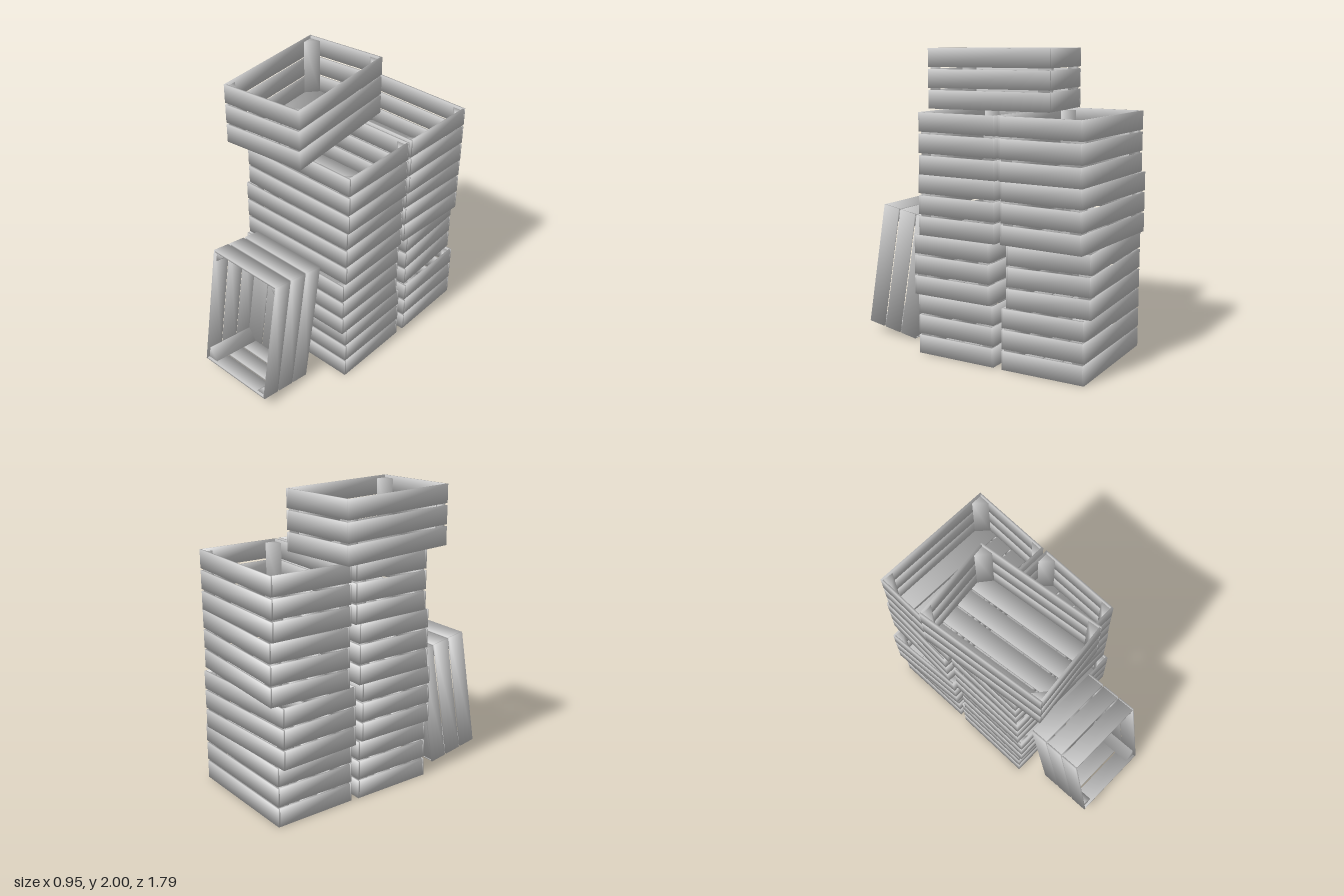
import * as THREE from 'three';

const L = 0.87, W = 0.57, H = 0.4;     // crate length, width, height
const T = 0.012;                       // board thickness
const SLAT = 0.124, POST = 0.075;

const material = new THREE.MeshStandardMaterial({ color: 0xcccccc });

// Smooth shading across all edges: normals point away from the part's centre
function softNormals(geometry, center, size) {
  const position = geometry.attributes.position, normal = geometry.attributes.normal;
  const n = new THREE.Vector3();
  for (let i = 0; i < position.count; i++) {
    n.fromBufferAttribute(position, i).sub(center).divide(size).normalize();
    normal.setXYZ(i, n.x, n.y, n.z);
  }
  return geometry;
}

function board(parent, name, size, position) {
  const geometry = new THREE.BoxGeometry(...size);
  softNormals(geometry, new THREE.Vector3(), new THREE.Vector3(...size));
  const mesh = new THREE.Mesh(geometry, material);
  mesh.name = name;
  mesh.position.set(...position);
  parent.add(mesh);
}

// Triangular post, right angle at the origin, legs along sx and sz
function cornerPost(sx, sz) {
  const h = H - 0.025;
  const tri = new THREE.Shape([
    new THREE.Vector2(0, 0),
    new THREE.Vector2(sx * POST, 0),
    new THREE.Vector2(0, -sz * POST),
  ]);
  const geometry = new THREE.ExtrudeGeometry(tri, { depth: h, bevelEnabled: false });
  geometry.rotateX(-Math.PI / 2);
  softNormals(geometry, new THREE.Vector3(sx * POST / 3, h / 2, sz * POST / 3), new THREE.Vector3(POST, h, POST));
  const mesh = new THREE.Mesh(geometry, material);
  mesh.name = 'cornerPost';
  mesh.position.set(-sx * (L / 2 - T), 0.008, -sz * (W / 2 - T));
  return mesh;
}

// Open slatted crate standing on y = 0, long side along x
function createCrate(name) {
  const crate = new THREE.Group();
  crate.name = name;

  // Three slats on each wall
  for (let i = 0; i < 3; i++) {
    const y = SLAT / 2 + i * (H - SLAT) / 2;
    for (const s of [-1, 1]) {
      board(crate, 'longSideSlat', [L, SLAT, T], [0, y, s * (W - T) / 2]);
      board(crate, 'endSlat', [T, SLAT, W - 2 * T], [s * (L - T) / 2, y, 0]);
    }
  }

  // Four floor slats
  const inner = W - 2 * T, gap = 0.013, floorW = (inner - 3 * gap) / 4;
  for (let i = 0; i < 4; i++) {
    const z = -inner / 2 + floorW / 2 + i * (floorW + gap);
    board(crate, 'floorSlat', [L - 2 * T, T, floorW], [0, T / 2, z]);
  }

  // Posts in the four corners
  for (const sx of [-1, 1]) for (const sz of [-1, 1]) crate.add(cornerPost(sx, sz));
  return crate;
}

export function createModel() {
  const model = new THREE.Group();
  model.name = 'crateStack';

  // Stacked columns, bottom to top: x, z, turn
  const columns = {
    frontStackCrate: [[0.034, 0.045, 0.008], [0.032, 0.075, 0.005], [0.025, 0.043, 0.012], [0.035, 0.028, 0]],
    backStackCrate: [[0.03, -0.582, 0.02], [-0.005, -0.582, 0.062], [0.025, -0.585, -0.038], [0.035, -0.572, -0.012]],
  };
  for (const [name, layers] of Object.entries(columns)) {
    layers.forEach(([x, z, turn], i) => {
      const crate = createCrate(name);
      crate.position.set(x, i * H, z);
      crate.rotation.y = turn;
      model.add(crate);
    });
  }

  // Crate on top, turned sideways
  const top = createCrate('topCrate');
  top.position.set(-0.145, 4 * H, 0.033);
  top.rotation.y = -Math.PI / 2 + 0.112;
  model.add(top);

  // Crate on its end, leaning back, opening to the front
  const lean = createCrate('leaningCrate');
  const a = 0.172, c = Math.cos(a), s = Math.sin(a);
  lean.quaternion.setFromRotationMatrix(new THREE.Matrix4().makeBasis(
    new THREE.Vector3(0, c, -s),
    new THREE.Vector3(0, s, c),
    new THREE.Vector3(1, 0, 0),
  ));
  lean.position.set(-0.01, 0.436, 0.433);
  model.add(lean);

  return model;
}
